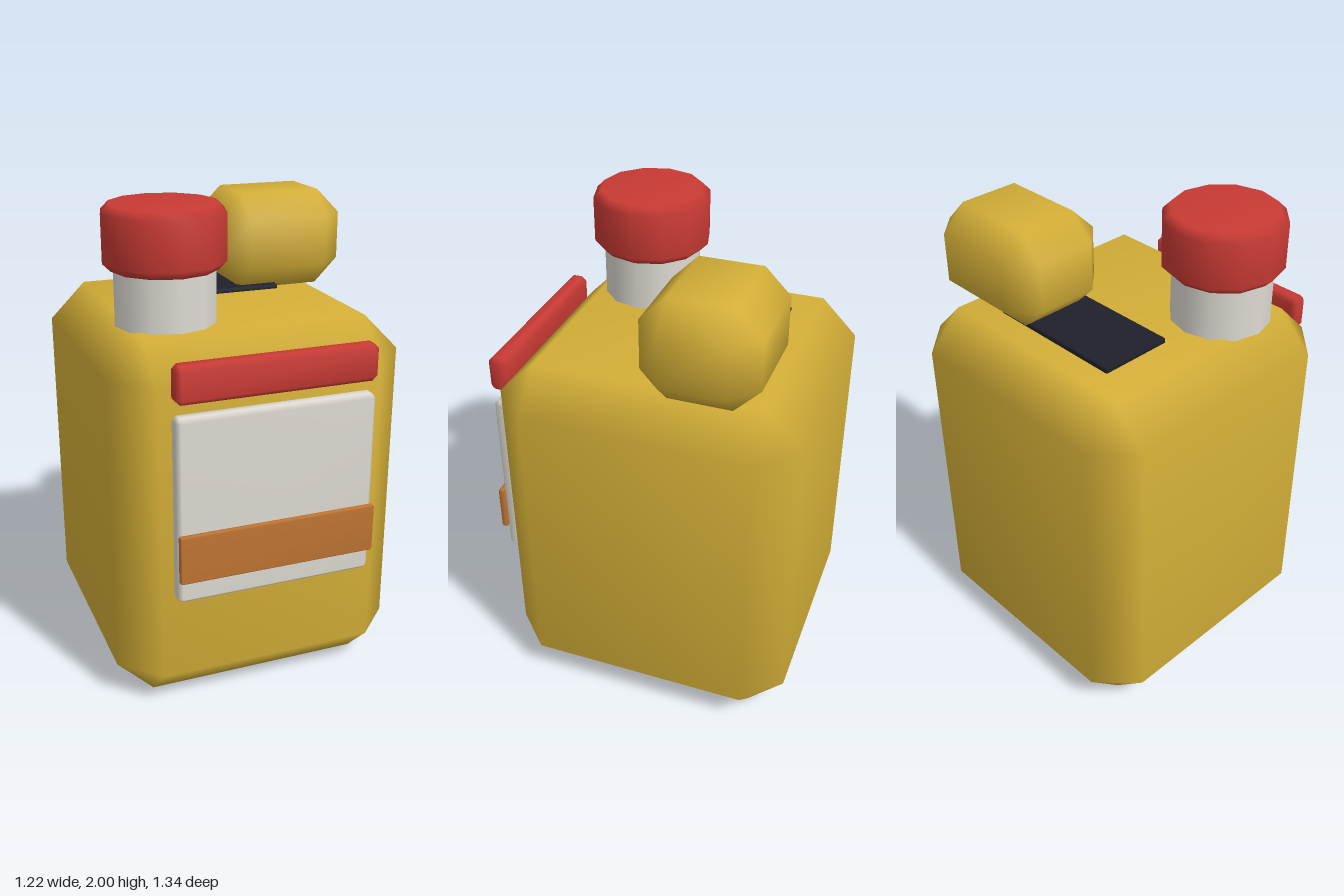
import * as THREE from 'three';
import { mergeVertices } from 'three/addons/utils/BufferGeometryUtils.js';
import { ConvexGeometry } from 'three/addons/geometries/ConvexGeometry.js';

const mat = (name, color) => {
  const m = new THREE.MeshStandardMaterial({ color });
  m.name = name;
  return m;
};

// Box with every edge chamfered by b, shaded smoothly across the chamfers
function chamferBox(min, max, b) {
  const points = [];
  const c = min.map((v, i) => (v + max[i]) / 2);
  const h = min.map((v, i) => (max[i] - v) / 2);
  for (const sx of [-1, 1]) for (const sy of [-1, 1]) for (const sz of [-1, 1])
    for (let axis = 0; axis < 3; axis++) {
      const p = [sx, sy, sz].map((s, i) => c[i] + s * (h[i] - (i === axis ? 0 : b)));
      points.push(new THREE.Vector3(...p));
    }
  let geo = new ConvexGeometry(points);
  geo.deleteAttribute('normal');
  geo = mergeVertices(geo);
  geo.computeVertexNormals();
  return geo;
}

export function createModel() {
  const group = new THREE.Group();
  group.name = 'canister';
  const mustard = mat('mustard', 0xd4af37);
  const red = mat('red', 0xc93a34);
  const white = mat('offWhite', 0xdedad2);
  const copper = mat('copper', 0xbf7432);
  const dark = mat('darkNavy', 0x20202c);

  const add = (name, geo, material) => {
    const mesh = new THREE.Mesh(geo, material);
    mesh.name = name;
    group.add(mesh);
    return mesh;
  };

  // Body and the chunky grip on its top
  add('body', chamferBox([-0.612, 0, -0.67], [0.612, 1.54, 0.565], 0.153), mustard);
  add('grip', chamferBox([0.05, 1.54, -0.515], [0.612, 1.95, -0.052], 0.104), mustard);

  // Dark plate under the grip
  add('topPlate', chamferBox([-0.308, 1.535, -0.415], [0.305, 1.56, -0.105], 0.004), dark);

  // Label stack on the front
  add('label', chamferBox([-0.412, 0.52, 0.565], [0.41, 1.288, 0.637], 0.018), white);
  add('labelBand', chamferBox([-0.412, 0.62, 0.637], [0.41, 0.822, 0.665], 0.007), copper);
  add('upperBar', chamferBox([-0.412, 1.34, 0.565], [0.41, 1.49, 0.645], 0.02), red);

  // Spout neck and chamfered twelve-sided cap
  const neck = add('neck', new THREE.CylinderGeometry(0.204, 0.204, 0.22, 12), white);
  neck.position.set(-0.308, 1.645, 0.204);
  const r = 0.245, b = 0.032, h = 0.25;
  const profile = [[0, 0], [r - b, 0], [r, b], [r, h - b], [r - b, h], [0, h]]
    .map(([x, y]) => new THREE.Vector2(x, y));
  const cap = add('cap', new THREE.LatheGeometry(profile, 12), red);
  cap.position.set(-0.308, 1.75, 0.204);

  return group;
}
